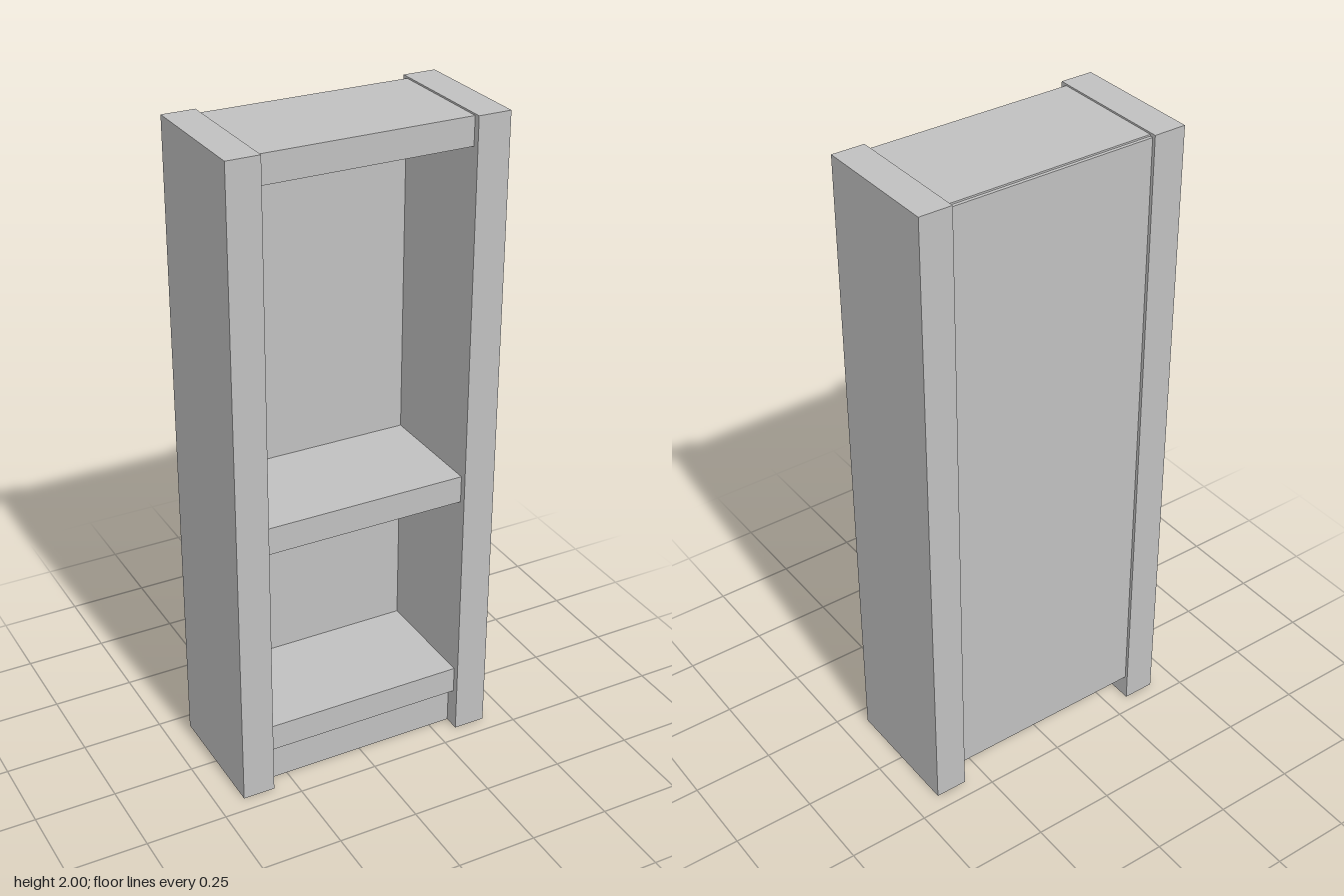
import * as THREE from 'three';

export function createModel() {
  const model = new THREE.Group();
  model.name = 'bookcase';

  const gray = new THREE.MeshStandardMaterial({ color: 0xc0c0c0 });
  gray.name = 'plain gray';

  // Board given by its lower and upper limits on each axis
  function board(name, [x0, x1], [y0, y1], [z0, z1]) {
    const mesh = new THREE.Mesh(new THREE.BoxGeometry(x1 - x0, y1 - y0, z1 - z0), gray);
    mesh.position.set((x0 + x1) / 2, (y0 + y1) / 2, (z0 + z1) / 2);
    mesh.name = name;
    model.add(mesh);
  }

  const outer = 0.417, inner = 0.317;
  const span = [-inner, inner];

  // Thick side walls
  board('leftSide', [inner, outer], [0, 2], [-0.2, 0.2]);
  board('rightSide', [-outer, -inner], [0, 2], [-0.2, 0.2]);

  // Three thick shelves, slightly set back from the sides
  const shelves = { bottomShelf: 0.13, middleShelf: 0.815, topShelf: 1.91 };
  for (const [name, y] of Object.entries(shelves)) {
    board(name, span, [y, y + 0.085], [-0.18, 0.18]);
  }

  // Thin back panel, ending above the floor
  board('backPanel', span, [0.08, 1.99], [-0.19, -0.18]);

  // Recessed kick board below the bottom shelf
  board('kickBoard', span, [0, 0.13], [0.14, 0.15]);

  return model;
}
